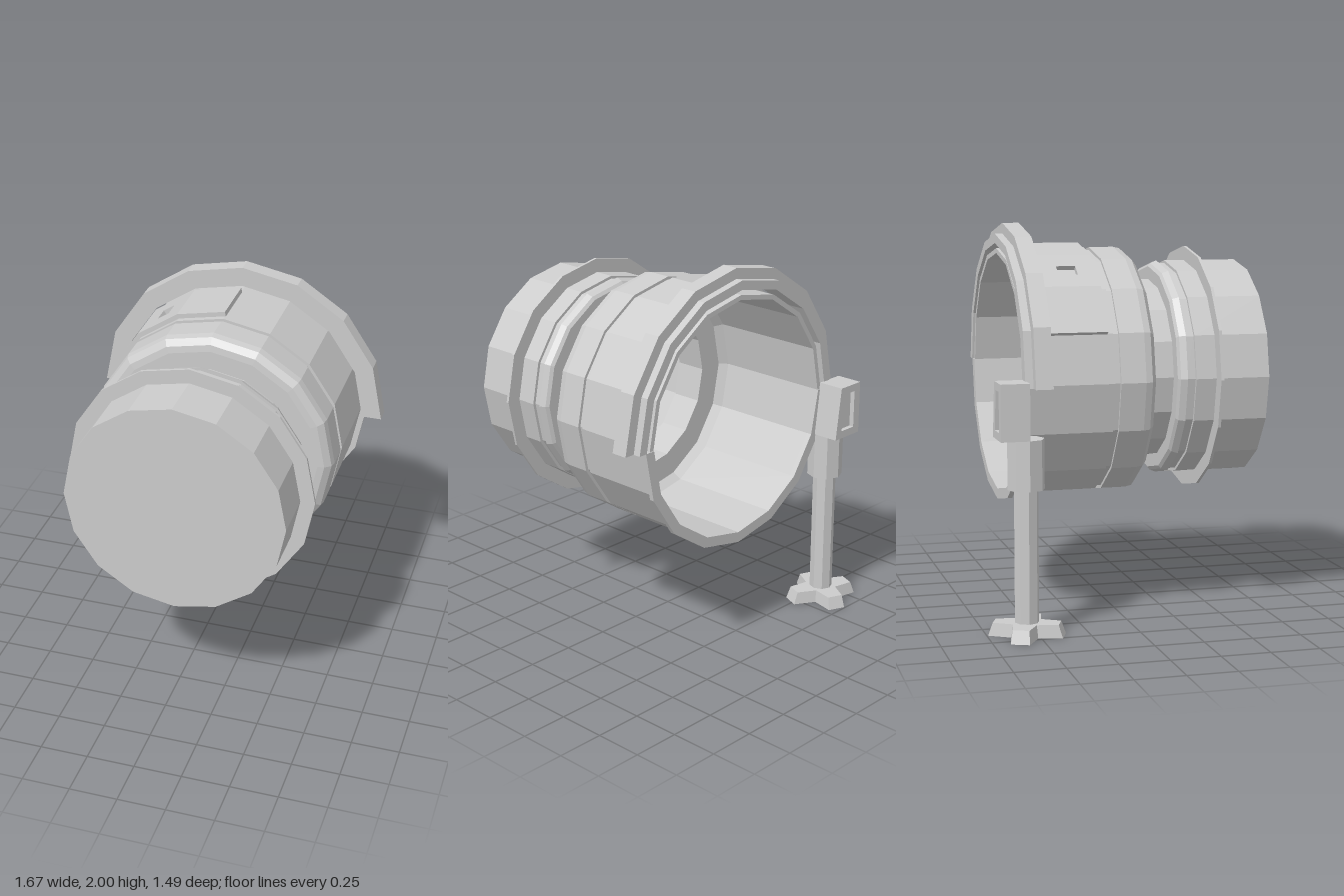
import * as THREE from 'three';

const CX = 0.055, CY = 1.225, STEP = Math.PI / 8; // drum axis and its 16 sides
const STAND_X = -0.645, STAND_Z = -0.553;

const material = new THREE.MeshStandardMaterial({ color: 0xcccccc, flatShading: true, side: THREE.DoubleSide });

function part(parent, name, geometry, x = 0, y = 0, z = 0) {
  const mesh = new THREE.Mesh(geometry, material);
  mesh.name = name;
  mesh.position.set(x, y, z);
  parent.add(mesh);
  return mesh;
}

function polygon(points) {
  return new THREE.Shape(points.map(([x, y]) => new THREE.Vector2(x, y)));
}

function extrude(shape, depth) {
  return new THREE.ExtrudeGeometry(shape, { depth, bevelEnabled: false });
}

// Faceted arc of a ring, from side index i0 to i1, between z0 and z1
function arcRing(rOut, rIn, z0, z1, i0, i1) {
  const pts = [];
  for (let i = i0; i <= i1; i++) pts.push([rOut * Math.cos(i * STEP), rOut * Math.sin(i * STEP)]);
  for (let i = i1; i >= i0; i--) pts.push([rIn * Math.cos(i * STEP), rIn * Math.sin(i * STEP)]);
  return extrude(polygon(pts), z1 - z0).translate(0, 0, z0);
}

export function createModel() {
  const model = new THREE.Group();
  model.name = 'cylindricalHousing';

  const drum = new THREE.Group();
  drum.name = 'drum';
  drum.position.set(CX, CY, 0);
  model.add(drum);

  // Hollow shell: outside from back to front, then inside back again [radius, z]
  const profile = [
    [0.645, -0.55], [0.645, -0.085], [0.63, -0.085], [0.63, -0.055], [0.645, -0.055],
    [0.645, 0.075], [0.637, 0.11], [0.605, 0.135], [0.57, 0.14], [0.472, 0.14],
    [0.472, 0.27], [0.54, 0.27], [0.557, 0.282], [0.57, 0.315], [0.555, 0.315], [0.555, 0.36],
    [0.57, 0.36], [0.57, 0.75], [0, 0.75],
    [0, 0.73], [0.55, 0.73], [0.53, 0.29], [0.452, 0.29], [0.452, 0.12],
    [0.585, 0.12], [0.62, 0.08], [0.62, -0.55], [0.645, -0.55],
  ].map(([r, z]) => new THREE.Vector2(r, z));
  part(drum, 'shell', new THREE.LatheGeometry(profile, 16).rotateX(Math.PI / 2));

  // Thin flange round the front section
  part(drum, 'frontFlange', new THREE.LatheGeometry(
    [[0.56, 0.467], [0.645, 0.467], [0.645, 0.482], [0.56, 0.482]].map(([r, z]) => new THREE.Vector2(r, z)), 16,
  ).rotateX(Math.PI / 2));

  // Stepped half hood above and lip below the rear opening
  part(drum, 'hoodOuter', arcRing(0.775, 0.672, -0.517, -0.43, 0, 8));
  part(drum, 'hoodStep', arcRing(0.72, 0.672, -0.557, -0.517, 0, 8));
  part(drum, 'rearLip', arcRing(0.675, 0.62, -0.555, -0.53, 8, 16));

  // Raised panel over three sides, the middle one with a square notch
  const panelR = 0.67, half = panelR * Math.sin(STEP / 2), apothem = panelR * Math.cos(STEP / 2);
  for (let i = 0; i < 3; i++) {
    const shape = polygon([[-half, -0.148], [half, -0.148], [half, 0.148], [-half, 0.148]]);
    if (i === 1) {
      const hole = [[-0.036, -0.05], [-0.036, 0.05], [0.036, 0.05], [0.036, -0.05]];
      shape.holes.push(new THREE.Path(hole.map(([x, y]) => new THREE.Vector2(x, y))));
    }
    const plate = extrude(shape, 0.025).rotateX(-Math.PI / 2).translate(0, apothem - 0.025, -0.263);
    part(drum, 'topPanel', plate).rotation.z = (i + 0.5) * STEP;
  }

  const stand = new THREE.Group();
  stand.name = 'stand';
  stand.position.set(STAND_X, 0, STAND_Z);
  model.add(stand);

  // Clamp block with one sloped side and a recess in front and back
  const block = polygon([[-0.095, 0.98], [0.097, 0.98], [0.06, 1.26], [-0.095, 1.26]]);
  block.holes.push(new THREE.Path([[-0.05, 1.02], [-0.05, 1.22], [0.022, 1.22], [0.05, 1.02]]
    .map(([x, y]) => new THREE.Vector2(x, y))));
  part(stand, 'clampBlock', extrude(block, 0.145), 0, 0, -0.143);
  part(stand, 'clampCore', new THREE.BoxGeometry(0.12, 0.22, 0.095), 0, 1.12, -0.07);

  // Octagonal leg
  part(stand, 'legSleeve', new THREE.CylinderGeometry(0.093, 0.093, 0.25, 8), 0, 0.855, 0);
  part(stand, 'leg', new THREE.CylinderGeometry(0.061, 0.061, 0.72, 8), 0, 0.39, 0);

  // Four-armed foot, tapering upward
  const foot = [];
  for (let i = 0; i < 4; i++) {
    const a = (67.5 + 90 * i) * Math.PI / 180;
    for (const [r, w] of [[0.187, -0.047], [0.187, 0.047]]) {
      foot.push([r * Math.cos(a) - w * Math.sin(a), r * Math.sin(a) + w * Math.cos(a)]);
    }
    foot.push([0.095 * Math.cos(a + Math.PI / 4), 0.095 * Math.sin(a + Math.PI / 4)]);
  }
  const footGeometry = extrude(polygon(foot), 0.065).rotateX(-Math.PI / 2);
  const pos = footGeometry.attributes.position;
  for (let i = 0; i < pos.count; i++) {
    if (pos.getY(i) > 0.03) pos.setXYZ(i, pos.getX(i) * 0.88, pos.getY(i), pos.getZ(i) * 0.88);
  }
  footGeometry.computeVertexNormals();
  part(stand, 'foot', footGeometry);

  return model;
}
